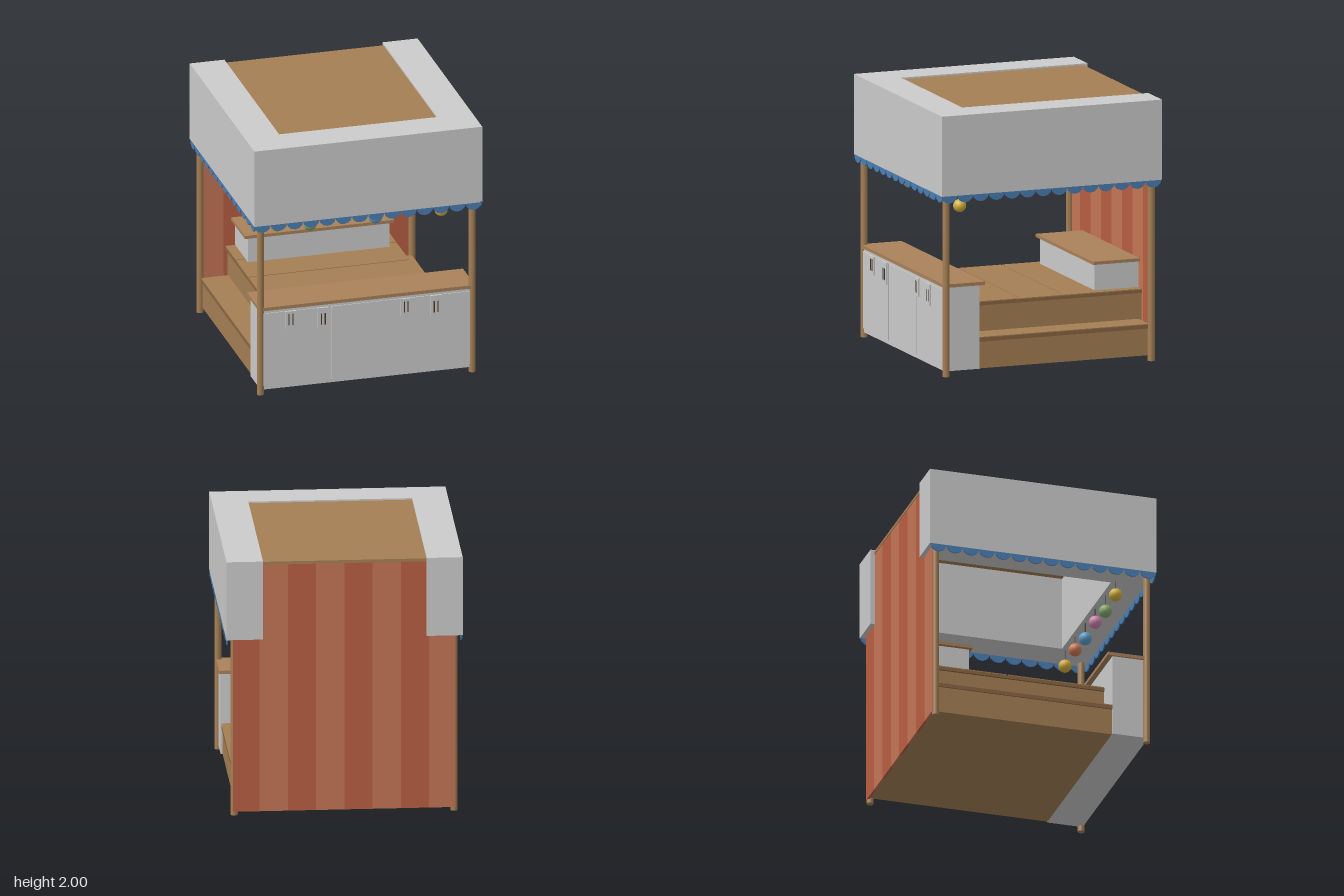
import * as THREE from 'three';

const mat = (color, extra = {}) => new THREE.MeshStandardMaterial({ color, ...extra });
const GREY = mat(0xcccccc);
const WOOD = mat(0xa57f54);
const TRIM = mat(0x8a6642);
const COUNTER = mat(0xa9825a);
const DARK = mat(0x4a3728);
const STRIPES = [mat(0xc47556), mat(0xb85e41)];
const BLUE = mat(0x4a7fb5, { side: THREE.DoubleSide });

export function createModel() {
  const root = new THREE.Group();

  const group = (name) => {
    const g = new THREE.Group();
    g.name = name;
    root.add(g);
    return g;
  };
  const add = (parent, name, geo, material, x = 0, y = 0, z = 0) => {
    const m = new THREE.Mesh(geo, material);
    m.name = name;
    m.position.set(x, y, z);
    parent.add(m);
    return m;
  };
  // Box given by its minimum and maximum on each axis
  const box = (parent, name, material, x0, x1, y0, y1, z0, z1) =>
    add(parent, name, new THREE.BoxGeometry(x1 - x0, y1 - y0, z1 - z0), material,
      (x0 + x1) / 2, (y0 + y1) / 2, (z0 + z1) / 2);

  // Corner posts
  const posts = group('posts');
  for (const x of [-0.825, 0.825])
    for (const z of [-0.828, 0.828])
      add(posts, 'post', new THREE.CylinderGeometry(0.027, 0.027, 1.42, 12), WOOD, x, 0.71, z);

  // Stepped platform: a wide lower step and a narrower upper one
  const platform = group('platform');
  box(platform, 'lowerStep', WOOD, -0.81, 0.81, 0.04, 0.245, -0.835, 0.56);
  box(platform, 'lowerTread', TRIM, -0.82, 0.82, 0.245, 0.275, -0.81, 0.56);
  box(platform, 'upperStep', WOOD, -0.61, 0.61, 0.27, 0.48, -0.835, 0.56);
  box(platform, 'upperTread', TRIM, -0.625, 0.625, 0.48, 0.505, -0.835, 0.56);
  for (const s of [-1, 1])
    box(platform, 'lowerTreadBoard', WOOD, s * 0.715 - 0.105, s * 0.715 + 0.105, 0.274, 0.281, -0.81, 0.56);
  // Floor planks with narrow gaps
  const seams = [-0.835, -0.55, -0.2, 0.15, 0.56];
  for (let i = 0; i < seams.length - 1; i++)
    box(platform, 'plank', WOOD, -0.625, 0.625, 0.504, 0.512, seams[i] + 0.005, seams[i + 1] - 0.005);

  // Front counter with three raised panels
  const counter = group('frontCounter');
  box(counter, 'counterBody', GREY, -0.825, 0.825, 0.04, 0.68, 0.56, 0.84);
  box(counter, 'counterTop', COUNTER, -0.84, 0.84, 0.68, 0.706, 0.52, 0.85);
  for (const [x0, x1] of [[-0.803, -0.295], [-0.277, 0.273], [0.29, 0.803]])
    box(counter, 'counterPanel', GREY, x0, x1, 0.07, 0.658, 0.835, 0.847);

  // Small hanging cards with two dark strokes each
  for (const [x, y0] of [[-0.595, 0.52], [-0.344, 0.495], [0.302, 0.52], [0.535, 0.495]]) {
    box(counter, 'card', GREY, x - 0.039, x + 0.039, y0, 0.66, 0.845, 0.86);
    for (const dx of [-0.015, 0.015])
      box(counter, 'cardStroke', DARK, x + dx - 0.004, x + dx + 0.004, y0 + 0.03, y0 + 0.12, 0.859, 0.863);
  }

  // Low rear bench
  const bench = group('rearBench');
  box(bench, 'benchBody', GREY, -0.55, 0.55, 0.505, 0.712, -0.835, -0.48);
  box(bench, 'benchTop', COUNTER, -0.58, 0.58, 0.712, 0.736, -0.835, -0.458);

  // Striped cloth back wall
  const wall = group('backWall');
  const w = 1.7 / 8;
  for (let i = 0; i < 8; i++) {
    const x0 = -0.85 + i * w;
    box(wall, 'stripe', STRIPES[i % 2], Math.max(x0, -0.835), Math.min(x0 + w, 0.835),
      0.03, 1.965, -0.856, -0.838);
  }

  // Roof: U-shaped canopy, open at the back, around a wooden panel
  const canopy = group('canopy');
  const u = new THREE.Shape();
  [[-0.887, -0.885], [0.887, -0.885], [0.887, 0.89], [0.613, 0.89],
    [0.613, -0.612], [-0.617, -0.612], [-0.617, 0.89], [-0.887, 0.89]]
    .forEach(([x, y], i) => (i ? u.lineTo(x, y) : u.moveTo(x, y)));
  const uGeo = new THREE.ExtrudeGeometry(u, { depth: 0.612, bevelEnabled: false });
  uGeo.rotateX(-Math.PI / 2);
  add(canopy, 'canopyFrame', uGeo, GREY, 0, 1.388, 0);
  box(canopy, 'roofPanel', WOOD, -0.62, 0.616, 1.965, 1.988, -0.86, 0.615);

  // Scalloped trim along the front and both sides
  const trim = group('scallopedTrim');
  const count = 14, pitch = 1.77 / count;
  const scallop = new THREE.Shape();
  scallop.moveTo(-pitch / 2, 0.008);
  for (let i = 0; i <= 6; i++) {
    const a = Math.PI * (1 + i / 6);
    scallop.lineTo(Math.cos(a) * pitch / 2, Math.sin(a) * 0.056);
  }
  scallop.lineTo(pitch / 2, 0.008);
  const scallopGeo = new THREE.ExtrudeGeometry(scallop, { depth: 0.01, bevelEnabled: false });
  for (let side = -1; side <= 1; side++)
    for (let i = 0; i < count; i++) {
      const t = -0.885 + (i + 0.5) * pitch;
      const m = add(trim, 'scallop', scallopGeo, BLUE,
        side ? side * 0.875 : t, 1.388, side ? t : 0.873);
      m.rotation.y = side * Math.PI / 2;
    }

  // Hanging round lanterns
  const lanterns = group('lanterns');
  const colors = [0xd4b03c, 0x84ab6c, 0xcf86ae, 0x5f9fcb, 0xcf7d56, 0xd4b03c];
  colors.forEach((color, i) => {
    const x = -0.64 + i * 0.255;
    const y = i % 2 ? 1.258 : 1.28;
    add(lanterns, 'lantern', new THREE.SphereGeometry(0.05, 14, 10), mat(color), x, y, 0.642);
    add(lanterns, 'lanternCord', new THREE.CylinderGeometry(0.005, 0.005, 1.4 - y - 0.045, 6), DARK,
      x, (1.4 + y + 0.045) / 2, 0.642);
  });

  return root;
}
